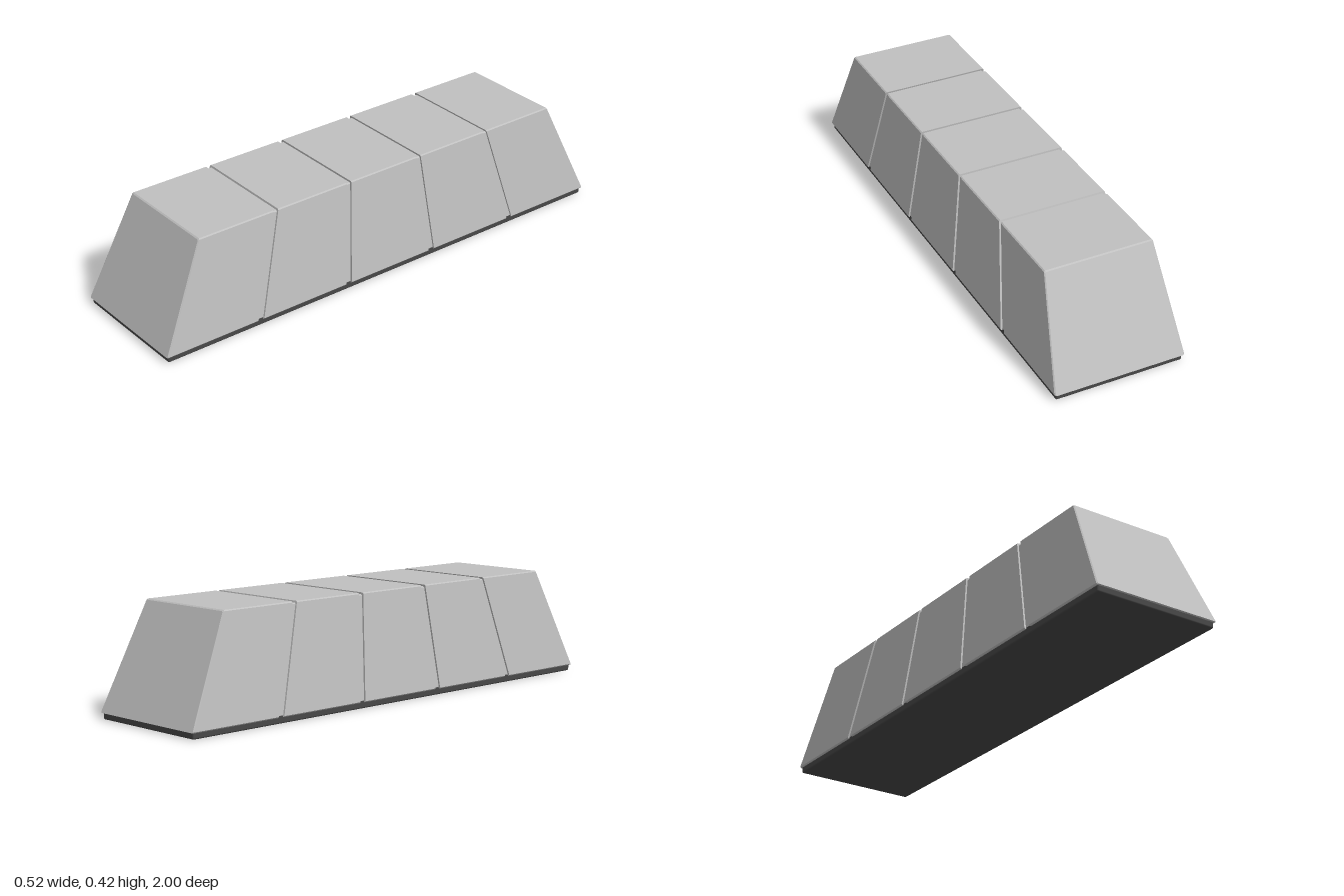
import * as THREE from 'three';
import { RoundedBoxGeometry } from 'three/addons/geometries/RoundedBoxGeometry.js';

const Y0 = 0.023, Y1 = 0.42;
const GROOVE_HALF = 0.013, GROOVE_DEPTH = 0.007, BEVEL = 0.004;

const atHeight = (low, high, y) => low + (high - low) * (y - Y0) / (Y1 - Y0);

// Tapered cross-section with chamfered corners, shrunk by an inset.
// t runs from -1 (back end) to 1 (front end) and leans with the sloped ends.
function ring(t, inset) {
  const c = BEVEL, top = Y1 - inset, low = Y0 + inset * 0.3;
  const half = y => atHeight(0.258, 0.212, y) - inset;
  const right = [
    [half(low) - c, low], [half(low + c), low + c],
    [half(top - c), top - c], [half(top) - c, top],
  ];
  const left = right.map(([x, y]) => [-x, y]).reverse();
  return [...right, ...left].map(([x, y]) => [x, y, t * atHeight(1, 0.82, y)]);
}

// Skin the rings from back to front and close both ends.
function loft(rings) {
  const pos = [];
  const tri = (a, b, c) => pos.push(...a, ...b, ...c);
  const n = rings[0].length;
  for (let r = 0; r < rings.length - 1; r++) {
    const a = rings[r], b = rings[r + 1];
    for (let i = 0; i < n; i++) {
      const j = (i + 1) % n;
      tri(a[i], a[j], b[j]);
      tri(a[i], b[j], b[i]);
    }
  }
  const first = rings[0], last = rings[rings.length - 1];
  for (let i = 1; i < n - 1; i++) {
    tri(first[0], first[i + 1], first[i]);
    tri(last[0], last[i], last[i + 1]);
  }
  const geo = new THREE.BufferGeometry();
  geo.setAttribute('position', new THREE.Float32BufferAttribute(pos, 3));
  geo.computeVertexNormals();
  return geo;
}

export function createModel() {
  const model = new THREE.Group();
  const lightGrey = new THREE.MeshStandardMaterial({ color: 0xc0c0c0 });
  lightGrey.name = 'light grey';
  const darkGrey = new THREE.MeshStandardMaterial({ color: 0x484848 });
  darkGrey.name = 'dark grey';

  // Tapered block, with four shallow grooves running over the sides and top
  const rings = [ring(-1, BEVEL), ring(-1 + BEVEL, 0)];
  for (const t of [-0.6, -0.2, 0.2, 0.6]) {
    rings.push(
      ring(t - GROOVE_HALF, 0), ring(t - GROOVE_HALF, GROOVE_DEPTH),
      ring(t + GROOVE_HALF, GROOVE_DEPTH), ring(t + GROOVE_HALF, 0),
    );
  }
  rings.push(ring(1 - BEVEL, 0), ring(1, BEVEL));
  const block = new THREE.Mesh(loft(rings), lightGrey);
  block.name = 'groovedBlock';
  model.add(block);

  // Slightly recessed dark base plate
  const base = new THREE.Mesh(new RoundedBoxGeometry(0.5, 0.032, 1.984, 3, 0.006), darkGrey);
  base.name = 'basePlate';
  base.position.y = 0.016;
  model.add(base);

  return model;
}
